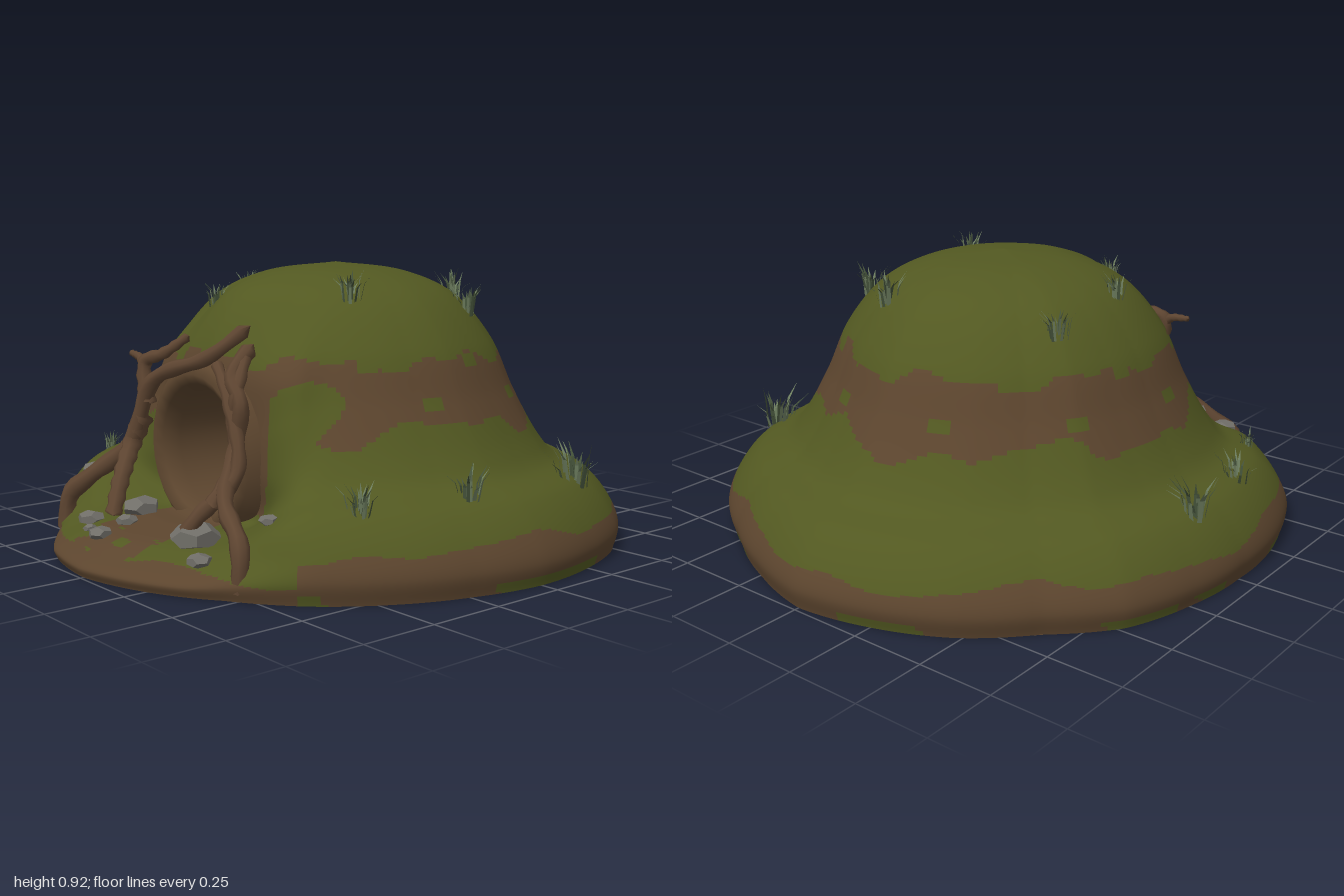
import * as THREE from 'three';

const paint = (name, color, side = THREE.FrontSide) => {
  const m = new THREE.MeshStandardMaterial({ color, side });
  m.name = name;
  return m;
};
const MOSS = paint('moss green', 0x525821);
const EARTH = paint('earth brown', 0x5c452e, THREE.DoubleSide);
const BARK = paint('root brown', 0x5e4531);
const STONE = paint('stone grey', 0x706e68);
const DARK = paint('burrow dark', 0x1b1e0c);
const BLADE = paint('grass dark', 0x44523a, THREE.DoubleSide);
const BLADE2 = paint('grass light', 0x6a7a5c, THREE.DoubleSide);

const TURN = Math.PI * 2;
const { smoothstep, lerp } = THREE.MathUtils;
let seed = 7;
const rnd = () => (seed = (seed * 16807) % 2147483647) / 2147483647;
const rand = (a, b) => a + (b - a) * rnd();

// Ground outline: radius at even steps from +x through the front (+z)
const OUTLINE = [.955, .94, .94, .945, .94, .97, 1, .985, .935, .965, .98, .965,
  .95, .955, .975, .95, .975, .985, 1, .96, .94, .955, .965, .955];
function outlineRadius(a) {
  const n = OUTLINE.length, f = a / TURN * n, i = Math.floor(f);
  return lerp(OUTLINE[i % n], OUTLINE[(i + 1) % n], f - i);
}

// Profiles as [share of the outline radius, height]: ordinary flank, and front with porch and wall
const profile = pts => new THREE.CatmullRomCurve3(pts.map(([u, y]) => new THREE.Vector3(u, y, 0)));
const FLANK = profile([[.985, 0], [1, .07], [.965, .15], [.89, .23], [.775, .285], [.72, .345],
  [.63, .5], [.55, .67], [.42, .815], [.25, .89], [.001, .922]]);
const FRONT = profile([[.99, 0], [1, .03], [.93, .07], [.85, .1], [.7, .12], [.57, .14],
  [.55, .4], [.525, .64], [.41, .815], [.25, .89], [.001, .922]]);

function surface(a, t) {
  const d = Math.abs(a - Math.PI / 2), w = 1 - smoothstep(d, .36, .85);
  const p = FLANK.getPoint(t).lerp(FRONT.getPoint(t), w);
  // The wall around the mouth is flat rather than round
  const flat = w * smoothstep(p.y, .1, .3) * (1 - smoothstep(p.y, .55, .8));
  const r = p.x * outlineRadius(a) * (1 + flat * (1 / Math.cos(Math.min(d, .7)) - 1));
  return new THREE.Vector3(r * Math.cos(a), Math.max(0, p.y), r * Math.sin(a));
}

// Point of the mound above a given x, z
function onMound(x, z) {
  const a = (Math.atan2(z, x) + TURN) % TURN, r = Math.hypot(x, z);
  let t = 1, p = surface(a, t);
  while (t > 0 && Math.hypot(p.x, p.z) < r) p = surface(a, t -= .004);
  return p;
}

// Where bare earth shows through the moss
function isEarth(p, a) {
  const n = Math.sin(a * 5 + 1) * .5 + Math.sin(a * 11 + p.y * 9) * .35 + Math.sin(a * 19 + p.y * 15) * .15;
  const m = Math.sin(a * 7 + 2) * .5 + Math.sin(a * 16 - p.y * 12) * .35;
  const front = Math.abs(a - Math.PI / 2) < .75;
  if (front && p.z > .5 && p.y < .16) {
    const mottle = p.z > .8 && Math.sin(p.x * 30 + 1) * Math.sin(p.z * 38) > .6;
    return !mottle && Math.abs(p.x + .01) < .15 + .05 * m || p.y < .06 + .02 * n;
  }
  if (front && Math.hypot(p.x, p.y - .34) < .3 + .03 * n) return true;
  // Round moss spots, and a larger moss patch either side of the mouth
  const spot = Math.sin(a * 9) * Math.sin(p.y * 26 + 1) > .84;
  const patch = Math.hypot((p.x - .38) / .09, (p.y - .48) / .1) < 1 && p.z > 0;
  if (p.y > .43 + .055 * n && p.y < .63 + .035 * m) return !spot && !patch;
  return p.y < .135 + .03 * n && !(p.y < .03 && m > .1);
}

function mound() {
  const NA = 270, NT = 130, P = [], moss = [], earth = [];
  for (let j = 0; j <= NT; j++) for (let i = 0; i < NA; i++) P.push(surface(i / NA * TURN, j / NT));
  const inHole = p => p.z > .3 && p.y > .15 && Math.hypot(p.x, p.y - .34) < .215;
  for (let j = 0; j < NT; j++) for (let i = 0; i < NA; i++) {
    const A = j * NA + i, B = j * NA + (i + 1) % NA, C = A + NA, D = B + NA;
    if ([A, B, C, D].some(q => inHole(P[q]))) continue;
    const mid = P[A].clone().lerp(P[D], .5);
    (isEarth(mid, (i + .5) / NA * TURN) ? earth : moss).push(B, A, C, B, C, D);
  }
  const g = new THREE.BufferGeometry().setFromPoints(P);
  g.setIndex([...moss, ...earth]);
  g.addGroup(0, moss.length, 0);
  g.addGroup(moss.length, earth.length, 1);
  g.computeVertexNormals();
  return new THREE.Mesh(g, [MOSS, EARTH]);
}

// Tapering tube through [x, y] points; its depth follows the porch, wall and brow of the mound
function root(r0, r1, pts) {
  const depth = y => .77 - .165 * smoothstep(y, .1, .42) - .13 * smoothstep(y, .56, .76);
  const c = new THREE.CatmullRomCurve3(pts.map(([x, y]) => new THREE.Vector3(x, y, depth(y))));
  const N = 36, S = 8, g = new THREE.TubeGeometry(c, N, 1, S);
  const pos = g.attributes.position, v = new THREE.Vector3();
  for (let i = 0; i <= N; i++) {
    const o = c.getPointAt(i / N);
    const end = i === 0 || i === N ? .02 : 1;
    const r = lerp(r0, r1, i / N) * end * (1 + .1 * Math.sin(i * 1.3));
    for (let s = 0; s <= S; s++) {
      const k = i * (S + 1) + s;
      v.fromBufferAttribute(pos, k).sub(o).multiplyScalar(r).add(o);
      pos.setXYZ(k, v.x, v.y, v.z);
    }
  }
  return new THREE.Mesh(g, BARK);
}

// Clump of thin blades fanning outwards
function tuft(x, z, size) {
  const grp = new THREE.Group(), sets = [[], []];
  for (let i = 0; i < 20; i++) {
    const a = rand(0, TURN), lean = rand(.1, .6) * size, h = rand(.4, 1) * size, w = .045 * size + .001;
    const cx = Math.cos(a), cz = Math.sin(a), out = rand(0, .4) * size;
    const at = (f, y, s) => new THREE.Vector3(cx * (out + lean * f) - cz * w * s, y, cz * (out + lean * f) + cx * w * s);
    const b0 = at(0, -.02, 1), b1 = at(0, -.02, -1);
    const m0 = at(.35, h * .6, .8), m1 = at(.35, h * .6, -.8), tip = at(1, h, 0);
    sets[i % 2].push(b0, b1, m1, b0, m1, m0, m0, m1, tip);
  }
  sets.forEach((s, i) => {
    const g = new THREE.BufferGeometry().setFromPoints(s);
    g.computeVertexNormals();
    grp.add(new THREE.Mesh(g, i ? BLADE2 : BLADE));
  });
  grp.position.copy(onMound(x, z));
  return grp;
}

export function createModel() {
  const model = new THREE.Group();
  const add = (name, o) => { o.name = name; model.add(o); return o; };

  add('mound', mound());

  // Flat underside
  const rim = Array.from({ length: 90 }, (_, i) => surface(i / 90 * TURN, 0)).map(p => new THREE.Vector2(p.x, p.z));
  add('underside', new THREE.Mesh(new THREE.ShapeGeometry(new THREE.Shape(rim)).rotateX(Math.PI / 2), EARTH));

  // Flared burrow mouth, tunnel wall and dark back
  const flare = [[.2, .28], [.2, .5], [.21, .56], [.24, .58], [.27, .56], [.3, .48]];
  const tunnel = add('tunnel', new THREE.Mesh(
    new THREE.LatheGeometry(flare.map(p => new THREE.Vector2(...p)), 28).rotateX(Math.PI / 2), EARTH));
  tunnel.position.set(-.01, .34, 0);
  const back = add('tunnelBack', new THREE.Mesh(new THREE.CircleGeometry(.205, 28), DARK));
  back.position.set(-.01, .34, .29);

  // Roots framing the mouth
  add('rightMainRoot', root(.032, .022, [[-.5, 0], [-.49, .14], [-.42, .21], [-.3, .33], [-.21, .54], [.05, .64], [.16, .74]]));
  add('rightInnerRoot', root(.026, .034, [[-.2, .12], [-.24, .23], [-.29, .33], [-.26, .43]]));
  add('rightUpperRoot', root(.03, .014, [[-.24, .46], [-.27, .6], [-.2, .63], [-.13, .69]]));
  add('rightSideRoot', root(.022, .01, [[-.25, .5], [-.29, .6], [-.38, .62]]));
  add('leftMainRoot', root(.028, .024, [[.49, 0], [.48, .15], [.32, .25], [.26, .4], [.28, .52], [.22, .6], [.22, .69]]));
  add('leftInnerRoot', root(.026, .018, [[.21, .13], [.24, .19], [.31, .32], [.21, .54], [.1, .63]]));
  add('leftUpperRoot', root(.026, .018, [[.28, .22], [.28, .36], [.24, .45], [.26, .55], [.22, .66]]));

  // Stones as x, z, size
  const stones = [[-.44, .54, .042], [-.5, .65, .048], [-.28, .8, .046], [-.2, .66, .065], [-.12, .76, .036],
    [-.1, .87, .04], [-.2, .85, .023], [.12, .7, .03], [.22, .73, .08], [.34, .8, .04], [.45, .63, .032]];
  stones.forEach(([x, z, s], i) => {
    const m = add('stone' + (i + 1), new THREE.Mesh(new THREE.DodecahedronGeometry(s), STONE));
    m.position.copy(onMound(x, z));
    m.position.y += s * .25;
    m.rotation.y = i * 1.7;
    m.scale.y = .55;
  });

  // Grass as x, z, size
  const tufts = [[-.83, -.1, .14], [-.8, .2, .09], [-.69, .48, .06], [-.4, -.24, .08], [-.4, .08, .08],
    [-.18, .37, .07], [.17, -.38, .1], [.39, -.23, .09], [.32, .21, .09], [.76, -.36, .13], [.77, .14, .1], [.67, .47, .09]];
  tufts.forEach((g, i) => add('grassTuft' + (i + 1), tuft(...g)));

  return model;
}
